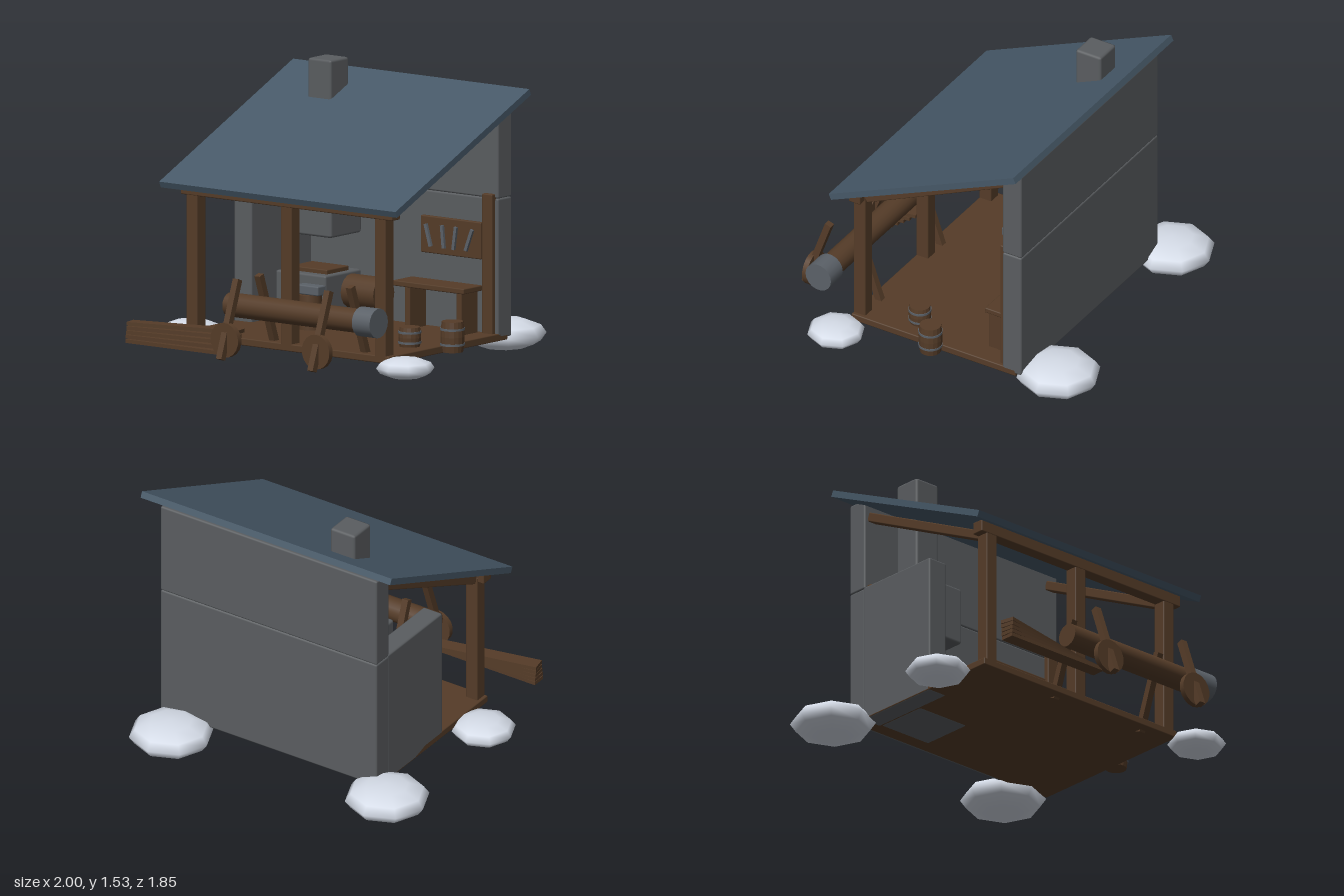
import * as THREE from 'three';
import { RoundedBoxGeometry } from 'three/addons/geometries/RoundedBoxGeometry.js';

const mat = (name, color) => {
  const m = new THREE.MeshStandardMaterial({ color });
  m.name = name;
  return m;
};

export function createModel() {
  const model = new THREE.Group();
  model.name = 'smithy';
  const wood = mat('wood', 0x553c28);
  const stone = mat('stone', 0x5a5d60);
  const metal = mat('metal', 0x5b6168);
  const slate = mat('slate', 0x465867);
  const snow = mat('snow', 0xdde4f0);

  const add = (name, geo, material, x, y, z, parent = model) => {
    const m = new THREE.Mesh(geo, material);
    m.name = name;
    m.position.set(x, y, z);
    parent.add(m);
    return m;
  };
  // Bevelled box given by its limits on each axis
  const box = (name, material, [x0, x1], [y0, y1], [z0, z1], bevel = 0.006) =>
    add(name, new RoundedBoxGeometry(x1 - x0, y1 - y0, z1 - z0, 1, bevel), material,
      (x0 + x1) / 2, (y0 + y1) / 2, (z0 + z1) / 2);

  // Floor and stone walls
  box('floor', wood, [-0.68, 0.71], [0.095, 0.135], [-0.53, 0.5]);
  box('backWallLower', stone, [-0.68, 0.71], [0.11, 0.865], [-0.566, -0.447], 0.01);
  box('backWallUpper', stone, [-0.68, 0.71], [0.865, 1.387], [-0.566, -0.447], 0.01);
  box('sideWall', stone, [-0.68, -0.56], [0.092, 0.872], [-0.46, 0.065], 0.01);

  // Timber frame
  for (const x of [-0.625, 0.015, 0.652]) {
    box('frontPost', wood, [x - 0.037, x + 0.037], [0.11, 0.9], [0.425, 0.5]);
  }
  for (const x of [-0.625, 0.655]) {
    box('backPost', wood, [x - 0.035, x + 0.035], [0.12, 0.89], [-0.49, -0.42]);
    const rafter = add('rafter', new RoundedBoxGeometry(0.06, 0.05, 0.97, 1, 0.006), wood, x, 1.09, -0.01);
    rafter.rotation.x = 0.436;
  }
  box('frontBeam', wood, [-0.7, 0.735], [0.872, 0.94], [0.43, 0.502]);

  // Sloping roof
  const roof = add('roof', new THREE.BoxGeometry(1.603, 0.036, 1.266), slate, 0.015, 1.18, -0.01);
  roof.rotation.x = 0.418;

  // Forge, hood and chimney
  box('forgeBase', stone, [-0.56, -0.22], [0.092, 0.392], [-0.45, -0.14], 0.012);
  box('forgeBed', wood, [-0.5, -0.25], [0.385, 0.416], [-0.38, -0.19]);
  box('forgeHood', stone, [-0.537, -0.217], [0.59, 0.912], [-0.45, -0.184], 0.014);
  box('chimney', stone, [-0.455, -0.297], [0.88, 1.532], [-0.442, -0.283], 0.014);

  // Bellows lying beside the forge
  const bellows = add('bellows', new THREE.CylinderGeometry(0.092, 0.092, 0.22, 16), wood, -0.1, 0.29, -0.35);
  bellows.rotation.z = Math.PI / 2;

  // Anvil on a stump
  add('stump', new THREE.CylinderGeometry(0.062, 0.068, 0.2, 14), wood, -0.19, 0.22, 0.03);
  box('anvil', metal, [-0.262, -0.11], [0.32, 0.372], [-0.005, 0.065], 0.008);

  // Workbench
  box('benchTop', wood, [0.13, 0.61], [0.36, 0.39], [-0.44, -0.275]);
  for (const x of [0.22, 0.57]) {
    box('benchLeg', wood, [x - 0.018, x + 0.018], [0.13, 0.365], [-0.43, -0.285]);
  }

  // Tool rack with hanging tools
  box('toolRack', wood, [0.2, 0.61], [0.53, 0.73], [-0.455, -0.425]);
  [[0.258, 0.28], [0.358, 0.1], [0.438, -0.14], [0.535, -0.36]].forEach(([x, tilt]) => {
    add('tool', new THREE.BoxGeometry(0.018, 0.125, 0.016), metal, x, 0.628, -0.418).rotation.z = tilt;
  });

  // Barrels with hoops
  const barrel = (x, z, y0, h, r) => {
    const g = new THREE.Group();
    g.name = 'barrel';
    g.position.set(x, y0, z);
    model.add(g);
    const profile = [[0, 0], [0.88, 0], [0.97, 0.25], [1, 0.5], [0.97, 0.75], [0.9, 1], [0, 1]]
      .map(([a, b]) => new THREE.Vector2(a * r, b * h));
    const body = new THREE.LatheGeometry(profile, 16).toNonIndexed();
    body.computeVertexNormals();
    add('barrelBody', body, wood, 0, 0, 0, g);
    for (const t of [0.25, 0.75]) {
      add('hoop', new THREE.CylinderGeometry(r * 1.02, r * 1.02, 0.012, 16), metal, 0, h * t, 0, g);
    }
  };
  barrel(0.74, -0.015, 0.1, 0.165, 0.065);
  barrel(0.58, 0.15, 0.13, 0.11, 0.061);

  // Trip hammer shaft and head on trestles with wheels
  const shaft = add('hammerShaft', new THREE.CylinderGeometry(0.065, 0.065, 0.9, 18), wood, 0.215, 0.345, 0.667);
  const head = add('hammerHead', new THREE.CylinderGeometry(0.08, 0.08, 0.12, 18), metal, 0.715, 0.345, 0.667);
  shaft.rotation.z = head.rotation.z = Math.PI / 2;
  for (const x of [-0.11, 0.51]) {
    for (const s of [-1, 1]) {
      const leg = add('trestleLeg', new THREE.BoxGeometry(0.037, 0.44, 0.037), wood, x, 0.297, 0.667 + s * 0.166);
      leg.rotation.x = -s * 0.34;
    }
    const wheel = add('wheel', new THREE.CylinderGeometry(0.094, 0.094, 0.03, 18), wood, x, 0.19, 0.86);
    wheel.rotation.x = Math.PI / 2;
  }

  // Fanned stack of planks, each turned a little more about its left end
  for (let i = 0; i < 5; i++) {
    const pivot = new THREE.Group();
    pivot.name = 'plank';
    pivot.position.set(-0.8, 0.112 + i * 0.0235, 0.81);
    pivot.rotation.y = i * 0.052;
    model.add(pivot);
    add('plankBoard', new THREE.BoxGeometry(0.66, 0.02, 0.08), wood, 0.33, 0, 0, pivot);
  }

  // Snow mounds: x, z, radius, half height
  for (const [x, z, r, h] of [[-0.77, -0.6, 0.23, 0.087], [0.55, -0.7, 0.23, 0.087],
    [-0.807, 0.27, 0.174, 0.065], [0.838, 0.517, 0.157, 0.059]]) {
    add('snowMound', new THREE.SphereGeometry(1, 8, 6), snow, x, 0.092, z).scale.set(r, h, r);
  }

  return model;
}
